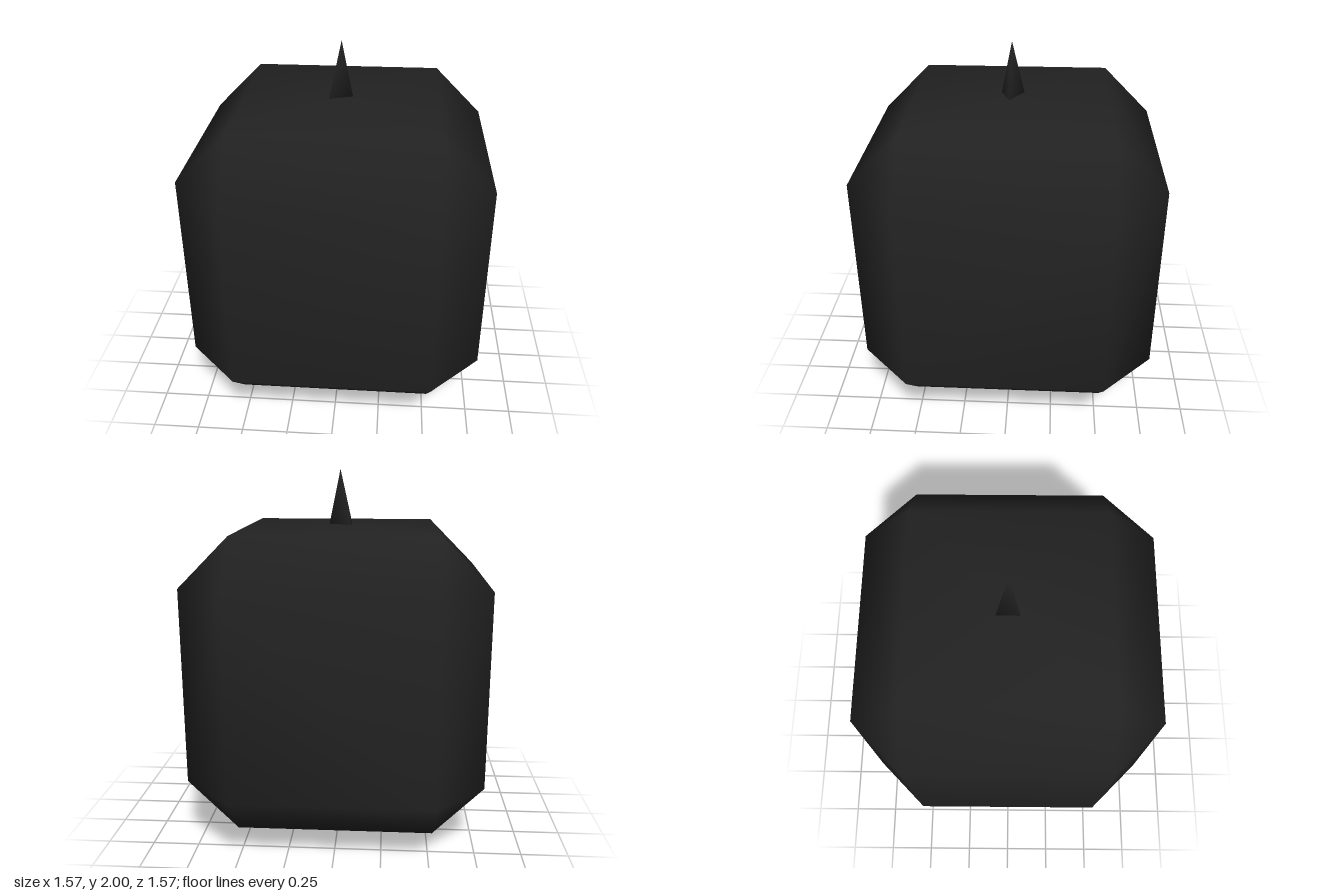
import * as THREE from 'three';
import { mergeVertices } from 'three/addons/utils/BufferGeometryUtils.js';
import { ConvexGeometry } from 'three/addons/geometries/ConvexGeometry.js';

// Convex solid with shared vertices, so its shading is smooth
function smoothHull(points) {
  const hull = new ConvexGeometry(points.map(p => new THREE.Vector3(...p)));
  hull.deleteAttribute('normal');
  const geometry = mergeVertices(hull, 1e-4);
  geometry.computeVertexNormals();
  return geometry;
}

export function createModel() {
  const group = new THREE.Group();
  const black = new THREE.MeshStandardMaterial({ color: 0x222222 });
  black.name = 'charcoal black';

  const add = (name, geometry, y = 0) => {
    const mesh = new THREE.Mesh(geometry, black);
    mesh.name = name;
    mesh.position.y = y;
    group.add(mesh);
  };

  // Body: cube with every edge and corner cut, top face raised to a shallow peak
  const outer = 0.785, inner = 0.52;
  const corners = [[0, 0.8, 0]];
  for (const sx of [-1, 1]) for (const sy of [-1, 1]) for (const sz of [-1, 1]) {
    for (let axis = 0; axis < 3; axis++) {
      corners.push([sx, sy, sz].map((s, i) => s * (i === axis ? outer : inner)));
    }
  }
  add('body', smoothHull(corners), 0.905);

  // Three-sided spike on top
  add('spike', smoothHull([
    [0, 2, 0], [-0.065, 1.69, -0.067], [-0.065, 1.69, 0.06], [0.064, 1.69, 0.013],
  ]));

  // Square foot below
  add('foot', new THREE.BoxGeometry(0.16, 0.14, 0.16), 0.07);

  return group;
}
